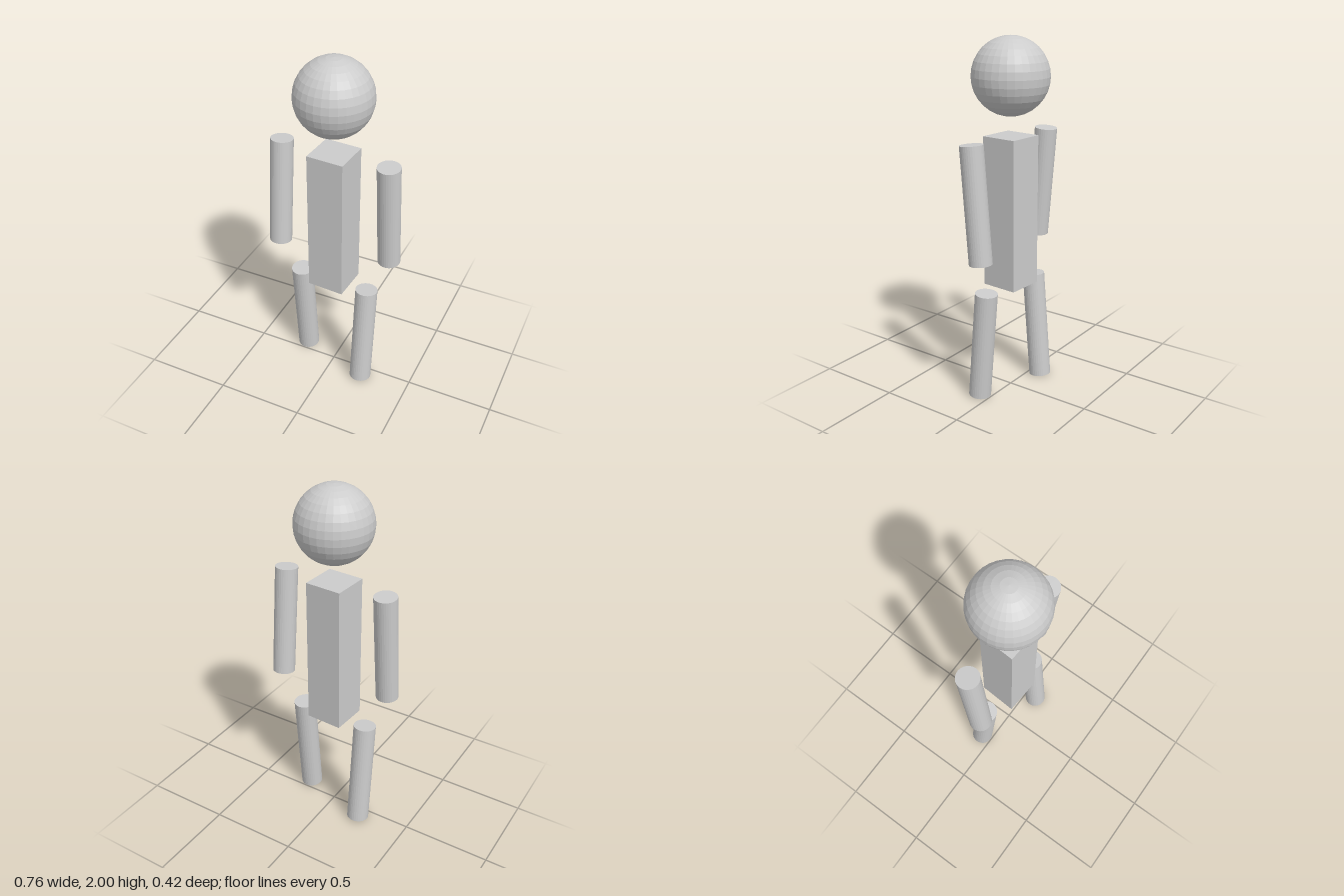
import * as THREE from 'three';

const U = 0.2102;      // one body unit: head radius, torso width
const SWING = 0.087;   // walking swing of the limbs
const TURN = -0.06;    // slight turn of the whole body

const material = new THREE.MeshStandardMaterial({ color: 0xcccccc, flatShading: true });

function addPart(parent, name, geometry, x, y) {
  const mesh = new THREE.Mesh(geometry, material);
  mesh.name = name;
  mesh.position.set(x * U, y * U, 0);
  parent.add(mesh);
  return mesh;
}

export function createModel() {
  const model = new THREE.Group();
  model.name = 'blockFigure';

  const body = new THREE.Group();
  body.name = 'body';
  body.position.y = 0.003;
  body.rotation.y = TURN;
  model.add(body);

  // Head and torso
  addPart(body, 'head', new THREE.SphereGeometry(U, 32, 16), 0, 8.5);
  addPart(body, 'torso', new THREE.BoxGeometry(U, 4 * U, U), 0, 5);

  // Limbs hang from the centre of their top end
  const limb = new THREE.CylinderGeometry(0.3 * U, 0.3 * U, 3 * U, 32);
  limb.translate(0, -1.5 * U, 0);

  // Opposite arm and leg swing together
  for (const [side, s] of [['left', 1], ['right', -1]]) {
    addPart(body, side + 'Arm', limb, s * 1.5, 7).rotation.x = s * SWING;
    addPart(body, side + 'Leg', limb, s, 3).rotation.x = -s * SWING;
  }

  return model;
}
